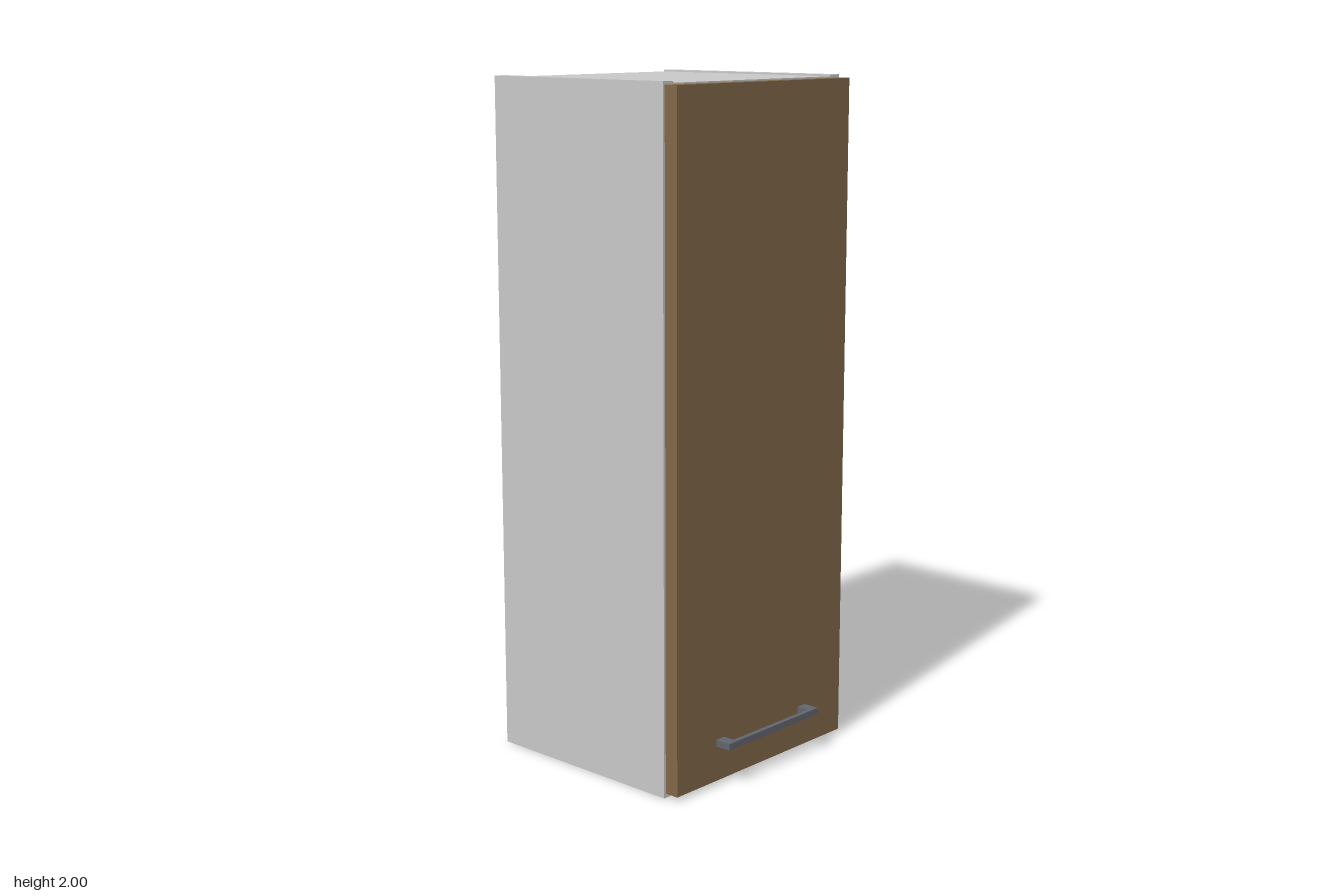
import * as THREE from 'three';

export function createModel() {
  const group = new THREE.Group();
  const panelGrey = new THREE.MeshStandardMaterial({ name: 'panel grey', color: 0xc8c8c8 });
  const woodBrown = new THREE.MeshStandardMaterial({ name: 'wood brown', color: 0x806848 });
  const handleGrey = new THREE.MeshStandardMaterial({ name: 'handle grey', color: 0x62656e });

  // Box given by its lowest and highest corners
  function box(name, material, [x0, y0, z0], [x1, y1, z1], parent = group) {
    const mesh = new THREE.Mesh(new THREE.BoxGeometry(x1 - x0, y1 - y0, z1 - z0), material);
    mesh.position.set((x0 + x1) / 2, (y0 + y1) / 2, (z0 + z1) / 2);
    mesh.name = name;
    parent.add(mesh);
  }

  const W = 0.373, H = 2, back = -0.375, front = 0.278;
  const t = 0.04;      // panel thickness
  const step = 0.005;  // top and bottom sit slightly inside the side panels
  const inner = W - t;

  // Carcass
  box('leftSide', panelGrey, [inner, 0, back], [W, H, front]);
  box('rightSide', panelGrey, [-W, 0, back], [-inner, H, front]);
  box('topPanel', panelGrey, [-inner, H - t, back], [inner, H - step, front]);
  box('bottomPanel', panelGrey, [-inner, step, back], [inner, t, front]);
  box('backPanel', panelGrey, [-inner, t, back], [inner, H - t, back + 0.02]);

  // Door
  const doorFront = 0.322;
  box('door', woodBrown, [-0.366, 0.013, front], [0.366, 1.991, doorFront]);

  // Handle: a bar on two posts
  const handle = new THREE.Group();
  handle.name = 'handle';
  group.add(handle);
  box('handleBar', handleGrey, [-0.2, 0.118, 0.358], [0.2, 0.138, 0.372], handle);
  for (const x of [-0.2, 0.167]) {
    box('handlePost', handleGrey, [x, 0.118, doorFront], [x + 0.033, 0.138, 0.358], handle);
  }

  return group;
}
